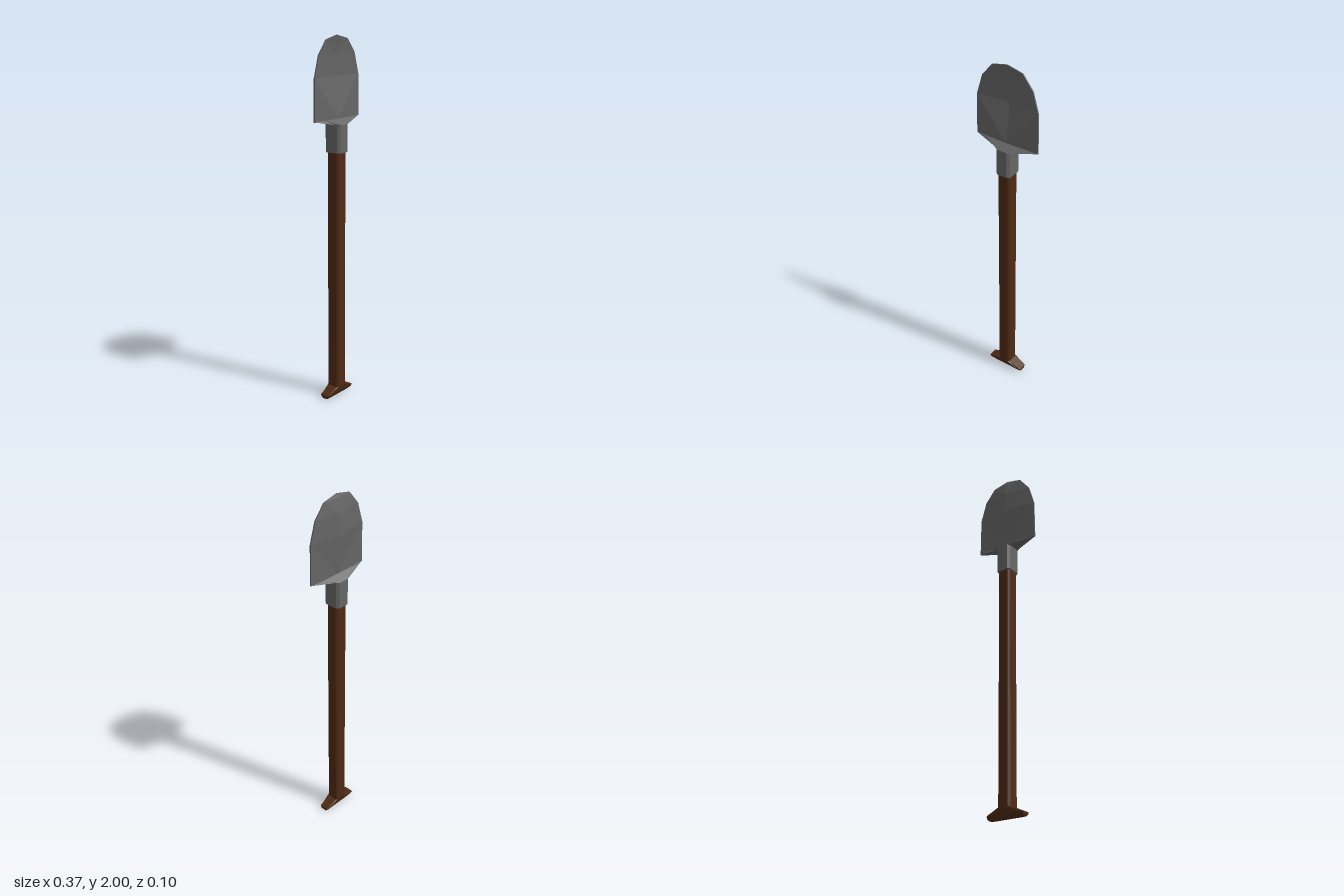
import * as THREE from 'three';

const wood = new THREE.MeshStandardMaterial({ color: 0x4e2a14, flatShading: true });
const metal = new THREE.MeshStandardMaterial({ color: 0x666666, flatShading: true });

// Eight-sided section: half sizes hx, hz with corners cut at cx, cz
function octagon(y, hx, cx, hz, cz) {
  return [[-cx, hz], [cx, hz], [hx, cz], [hx, -cz], [cx, -hz], [-cx, -hz], [-hx, -cz], [-hx, cz]]
    .map(([x, z]) => new THREE.Vector3(x, y, z));
}

// Dished blade section: thin edges, with the centre line at zFront / zBack
function bladeSection(y, hx, zFront, zBack, edge) {
  return [[-hx, edge], [0, zFront], [hx, edge], [hx, 0], [hx, -edge], [0, zBack], [-hx, -edge], [-hx, 0]]
    .map(([x, z]) => new THREE.Vector3(x, y, z));
}

// Skin sections from bottom to top and close both ends
function loft(name, sections, material) {
  const pts = [];
  const tri = (...v) => v.forEach((p) => pts.push(p));
  const n = sections[0].length;
  for (let s = 0; s < sections.length - 1; s++) {
    const lo = sections[s], hi = sections[s + 1];
    for (let i = 0; i < n; i++) {
      const j = (i + 1) % n;
      // Alternate the diagonals so the facets mirror left to right
      if (i % 2) tri(lo[i], lo[j], hi[j], lo[i], hi[j], hi[i]);
      else tri(lo[i], lo[j], hi[i], lo[j], hi[j], hi[i]);
    }
  }
  const first = sections[0], last = sections[sections.length - 1];
  for (let i = 1; i < n - 1; i++) {
    tri(first[0], first[i + 1], first[i]);
    tri(last[0], last[i], last[i + 1]);
  }
  const geometry = new THREE.BufferGeometry().setFromPoints(pts);
  geometry.computeVertexNormals();
  const mesh = new THREE.Mesh(geometry, material);
  mesh.name = name;
  return mesh;
}

export function createModel() {
  const model = new THREE.Group();
  model.name = 'shovel';

  // Flared grip at the foot of the handle
  model.add(loft('grip', [
    octagon(0, 0.105, 0.08, 0.014, 0.012),
    octagon(0.008, 0.11, 0.085, 0.021, 0.019),
    octagon(0.022, 0.11, 0.09, 0.03, 0.026),
    octagon(0.055, 0.037, 0.027, 0.038, 0.028),
  ], wood));

  // Long chamfered handle
  model.add(loft('shaft', [
    octagon(0.055, 0.037, 0.027, 0.038, 0.028),
    octagon(1.4, 0.037, 0.027, 0.038, 0.028),
  ], wood));

  // Socket gripping the handle
  model.add(loft('socket', [
    octagon(1.39, 0.043, 0.03, 0.05, 0.036),
    octagon(1.54, 0.043, 0.03, 0.05, 0.036),
  ], metal));

  // Shoulder spreading from the socket to the blade
  model.add(loft('shoulder', [
    octagon(1.54, 0.043, 0.03, 0.05, 0.036),
    octagon(1.568, 0.187, 0.12, 0.011, 0.004),
  ], metal));

  // Dished blade with a rounded end
  model.add(loft('blade', [
    bladeSection(1.566, 0.187, 0.01, -0.01, 0.004),
    bladeSection(1.79, 0.184, -0.019, -0.03, 0.004),
    bladeSection(1.905, 0.15, -0.016, -0.026, 0.004),
    bladeSection(1.98, 0.09, -0.002, -0.01, 0.003),
    bladeSection(2, 0.004, 0.003, -0.003, 0.002),
  ], metal));

  return model;
}
